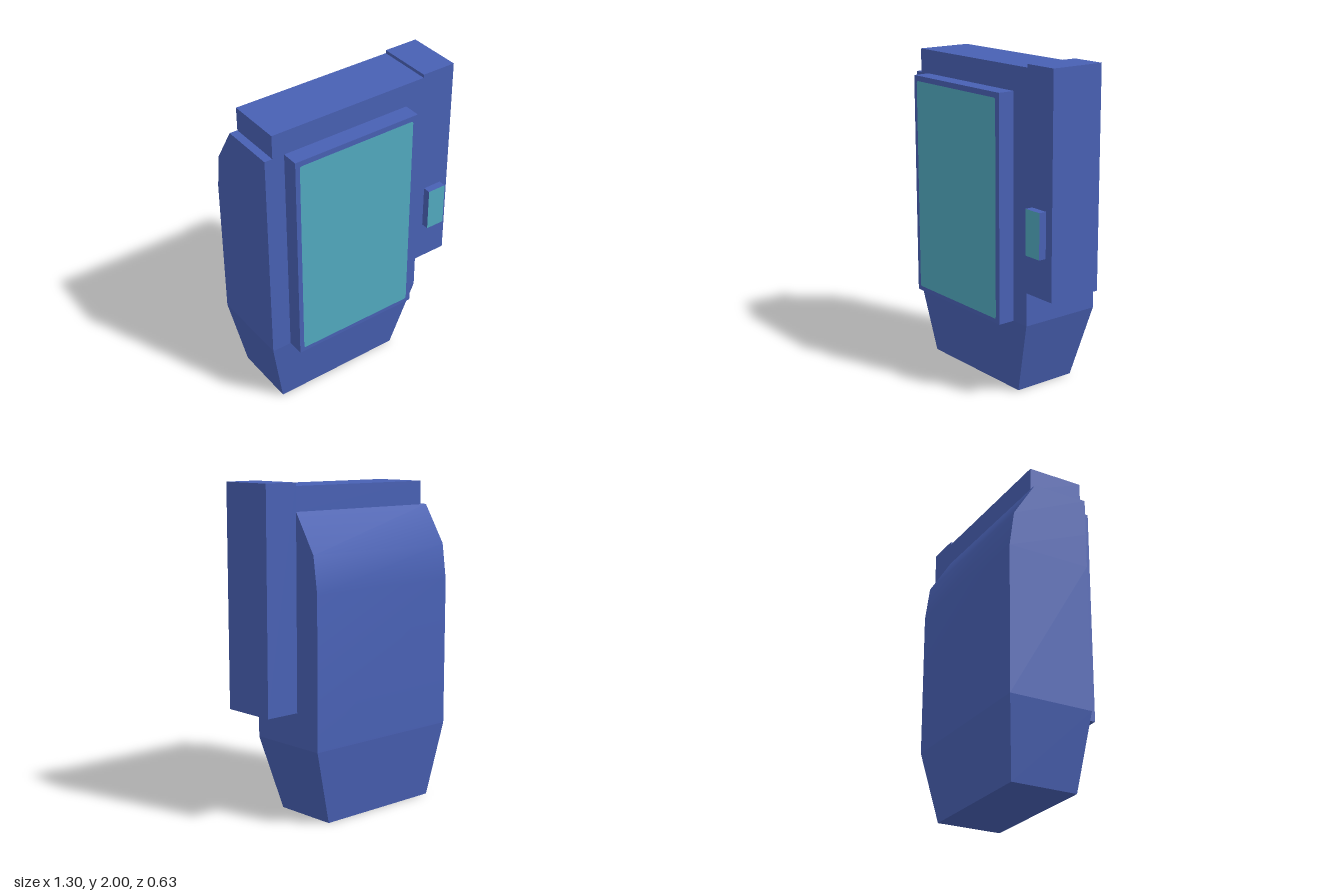
import * as THREE from 'three';
import { toCreasedNormals } from 'three/addons/utils/BufferGeometryUtils.js';

const blue = new THREE.MeshStandardMaterial({ name: 'casing blue', color: 0x4860b3 });
const teal = new THREE.MeshStandardMaterial({ name: 'screen teal', color: 0x51a9bf });

// Closed solid through rectangular sections [y, xMin, xMax, zBack, zFront], bottom to top
function loft(sections, crease) {
  const pos = [], idx = [];
  for (const [y, x0, x1, zb, zf] of sections) {
    pos.push(x0, y, zf, x1, y, zf, x1, y, zb, x0, y, zb);
  }
  for (let s = 0; s < sections.length - 1; s++) {
    for (let i = 0; i < 4; i++) {
      const a = s * 4 + i, b = s * 4 + (i + 1) % 4;
      idx.push(a, b, b + 4, a, b + 4, a + 4);
    }
  }
  const t = (sections.length - 1) * 4;
  idx.push(0, 2, 1, 0, 3, 2, t, t + 1, t + 2, t, t + 2, t + 3);
  const g = new THREE.BufferGeometry();
  g.setAttribute('position', new THREE.Float32BufferAttribute(pos, 3));
  g.setIndex(idx);
  return toCreasedNormals(g, crease);
}

// Box given by its limits on each axis
function box(x0, x1, y0, y1, z0, z1) {
  return new THREE.BoxGeometry(x1 - x0, y1 - y0, z1 - z0)
    .translate((x0 + x1) / 2, (y0 + y1) / 2, (z0 + z1) / 2);
}

// Thin front plate with slightly rounded corners
function plate(x0, x1, y0, y1, z, r) {
  const s = new THREE.Shape();
  s.moveTo(x0 + r, y0);
  s.lineTo(x1 - r, y0).quadraticCurveTo(x1, y0, x1, y0 + r);
  s.lineTo(x1, y1 - r).quadraticCurveTo(x1, y1, x1 - r, y1);
  s.lineTo(x0 + r, y1).quadraticCurveTo(x0, y1, x0, y1 - r);
  s.lineTo(x0, y0 + r).quadraticCurveTo(x0, y0, x0 + r, y0);
  return new THREE.ShapeGeometry(s, 4).translate(0, 0, z);
}

export function createModel() {
  const model = new THREE.Group();
  model.name = 'handheldDevice';
  const add = (name, geometry, material) => {
    const mesh = new THREE.Mesh(geometry, material);
    mesh.name = name;
    model.add(mesh);
  };

  // Main casing: tapered foot and a body with a rounded upper back
  const waist = [0.465, -0.65, 0.427, -0.315, 0.21];
  add('taperedFoot', loft([[0, -0.56, 0.288, -0.258, 0.155], waist], 0.1), blue);
  add('body', loft([
    waist,
    [1.38, -0.65, 0.427, -0.315, 0.21],
    [1.6, -0.65, 0.427, -0.285, 0.21],
    [1.835, -0.65, 0.427, -0.14, 0.21],
  ], 0.5), blue);
  add('topBlock', box(-0.6, 0.427, 1.835, 1.98, -0.14, 0.21), blue);

  // Tall block along the left side
  add('sideBlock', box(0.427, 0.647, 0.67, 2, -0.14, 0.21), blue);

  // Raised frame with its screen
  add('screenFrame', box(-0.525, 0.307, 0.465, 1.835, 0.21, 0.315), blue);
  add('screen', plate(-0.497, 0.275, 0.493, 1.803, 0.317, 0.015), teal);

  // Button with a coloured front face (box groups: +x, -x, +y, -y, +z, -z)
  add('button', box(0.473, 0.595, 0.92, 1.195, 0.21, 0.258),
    [blue, blue, blue, blue, teal, blue]);

  return model;
}
